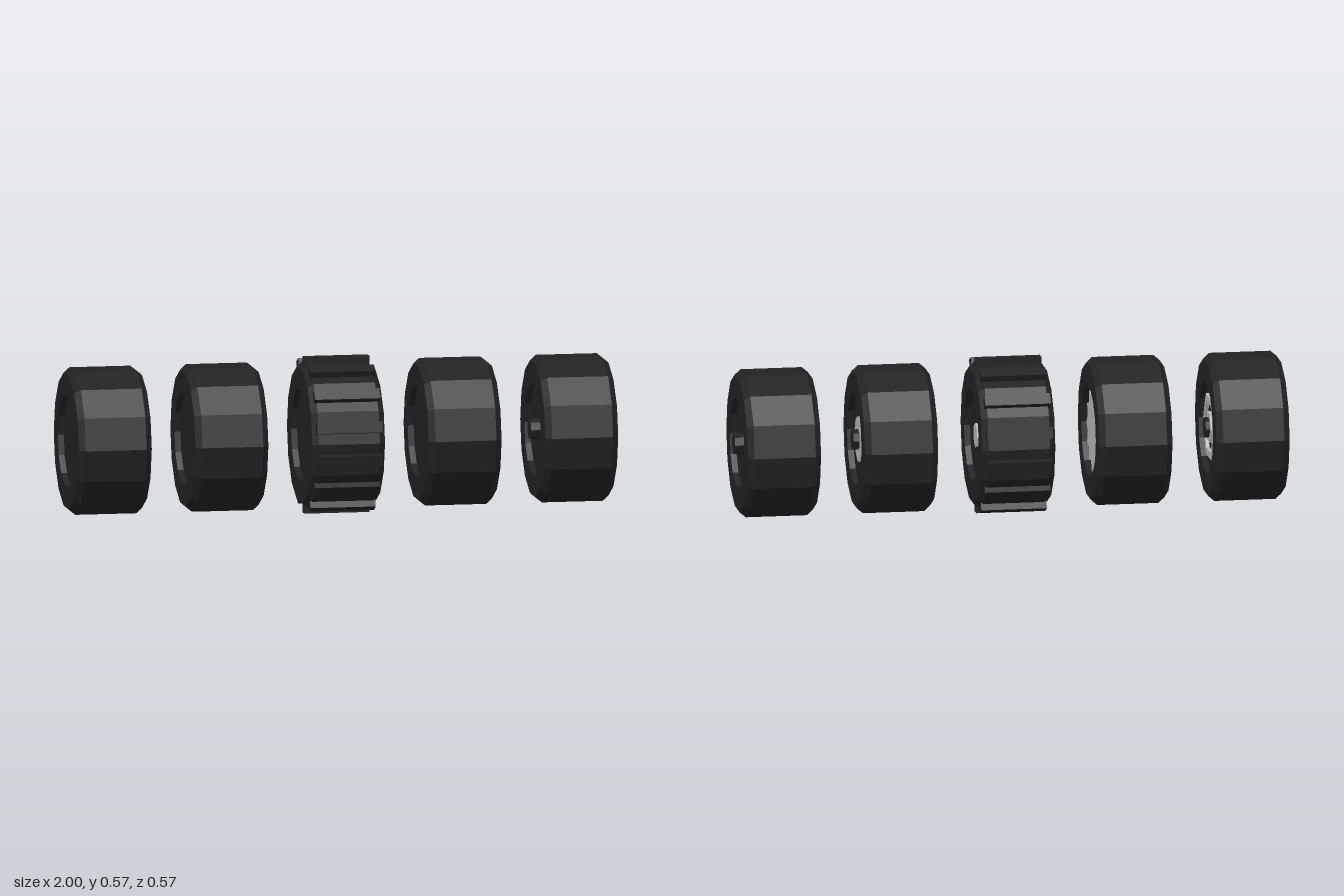
import * as THREE from 'three';

const rubber = new THREE.MeshStandardMaterial({ color: 0x222222, flatShading: true });
rubber.name = 'black rubber';
const steel = new THREE.MeshStandardMaterial({ color: 0xb8babd, flatShading: true });
steel.name = 'light steel';

const SIDES = 14, HALF = 0.134, FLOOR = 0.112, AXLE_Y = 0.285;

function add(parent, name, geometry, material) {
  const mesh = new THREE.Mesh(geometry, material);
  mesh.name = name;
  parent.add(mesh);
  return mesh;
}

// Regular polygon lying in the wheel plane, first corner on the z axis
function polygon(radius, sides, PathType = THREE.Shape, innerRadius = radius) {
  const path = new PathType();
  for (let i = 0; i < sides; i++) {
    const a = (i / sides) * Math.PI * 2;
    const r = i % 2 ? innerRadius : radius;
    if (i === 0) path.moveTo(r, 0);
    else path.lineTo(r * Math.cos(a), r * Math.sin(a));
  }
  path.closePath();
  return path;
}

// Extrude a shape outwards along +x from position x
function plate(shape, x, depth) {
  return new THREE.ExtrudeGeometry(shape, { depth, bevelEnabled: false })
    .rotateY(Math.PI / 2).translate(x, 0, 0);
}

// Solid of revolution around the x axis
function turned(points, sides) {
  return new THREE.LatheGeometry(points.map(p => new THREE.Vector2(...p)), sides)
    .rotateZ(-Math.PI / 2);
}

// Tyre with bevelled shoulders and a shallow recess on both faces
function makeWheel(name, x) {
  const wheel = new THREE.Group();
  wheel.name = name;
  wheel.position.set(x, AXLE_Y, 0);
  add(wheel, 'tyre', turned([
    [0, -FLOOR], [0.168, -FLOOR], [0.168, -HALF], [0.249, -HALF], [0.268, -HALF + 0.022],
    [0.268, HALF - 0.022], [0.249, HALF], [0.168, HALF], [0.168, FLOOR], [0, FLOOR],
  ], SIDES), rubber);
  return wheel;
}

// Octagonal axle stub on one face
function addStub(wheel, side, tip) {
  const stub = add(wheel, 'axleStub',
    new THREE.CylinderGeometry(0.038, 0.038, tip - FLOOR + 0.01, 8).rotateZ(Math.PI / 2), rubber);
  stub.position.x = side * (tip + FLOOR - 0.01) / 2;
}

export function createModel() {
  const model = new THREE.Group();
  model.name = 'wheelSet';
  const names = ['hexWheel', 'starWheel', 'treadWheel', 'capWheel', 'plainWheel'];
  const wheels = names.map((name, i) => makeWheel(name, -0.866 + i * 0.429));
  model.add(...wheels);
  const [hex, star, tread, cap, plain] = wheels;

  // Hexagonal rim and nut
  const ring = polygon(0.128, 6);
  ring.holes.push(polygon(0.1, 6, THREE.Path));
  add(hex, 'hexRim', plate(ring, FLOOR, 0.012), steel);
  add(hex, 'hexNut', plate(polygon(0.06, 6), FLOOR, 0.012), steel);
  addStub(hex, 1, 0.139);

  // Jagged hub plate
  add(star, 'starPlate', plate(polygon(0.163, 28, THREE.Shape, 0.135), FLOOR, 0.004), steel);

  // Tread bars, one on each flat, and a small cap
  for (let i = 0; i < SIDES; i++) {
    const bar = add(tread, 'treadBar',
      new THREE.BoxGeometry(0.24, 0.04, 0.042).translate(0, 0.265, 0), rubber);
    bar.rotation.x = (i / SIDES) * Math.PI * 2;
  }
  add(tread, 'hubCap', plate(polygon(0.045, 8), FLOOR, 0.008), steel);

  // Round cap behind the stub
  add(cap, 'hubCap', plate(polygon(0.083, 14), FLOOR, 0.008), steel);
  addStub(cap, 1, 0.142);

  // Axle stubs on both faces
  addStub(plain, 1, 0.147);
  addStub(plain, -1, 0.147);

  return model;
}
